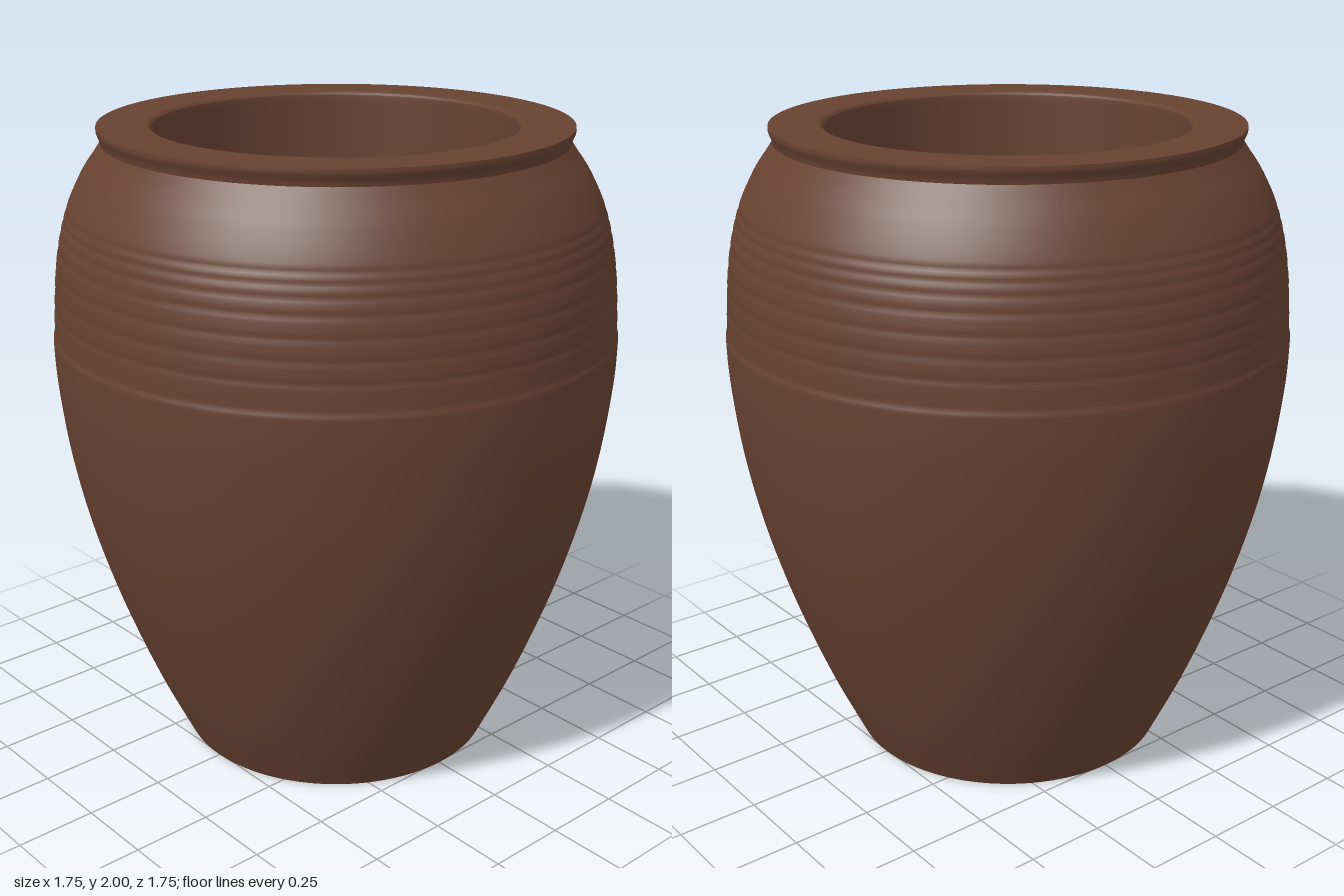
import * as THREE from 'three';

const SEGMENTS = 128;
const v = ([r, y]) => new THREE.Vector2(r, y);

// Smooth profile through a few [radius, height] points
const smooth = (points, n) => new THREE.SplineCurve(points.map(v)).getPoints(n);

export function createModel() {
  const clay = new THREE.MeshStandardMaterial({ color: 0x684231 });
  const pot = new THREE.Group();
  pot.name = 'pot';

  // Each part is turned separately, so the edges between parts stay sharp
  const turn = (name, profile) => {
    const mesh = new THREE.Mesh(new THREE.LatheGeometry(profile, SEGMENTS), clay);
    mesh.name = name;
    pot.add(mesh);
  };

  // Flat underside
  turn('base', [[0, 0], [0.505, 0]].map(v));

  // Bulging body, with a shallow step and turned grooves on the shoulder
  const grooves = [1.46, 1.52, 1.58, 1.64, 1.685, 1.72, 1.75];
  const body = smooth([
    [0.505, 0], [0.598, 0.2], [0.678, 0.4], [0.747, 0.6], [0.803, 0.8], [0.844, 1.0],
    [0.869, 1.2], [0.876, 1.33], [0.873, 1.45], [0.856, 1.6], [0.822, 1.74],
    [0.772, 1.85], [0.725, 1.92], [0.705, 1.95],
  ], 240);
  for (const p of body) {
    const band = THREE.MathUtils.smoothstep(p.y, 1.365, 1.385)
      * (1 - THREE.MathUtils.smoothstep(p.y, 1.4, 1.75));
    let depth = 0.005 * band;
    for (const y of grooves) depth += 0.0025 * Math.exp(-(((p.y - y) / 0.008) ** 2));
    p.x -= depth;
  }
  turn('body', body);

  // Flared lip and flat rim
  turn('lip', smooth([[0.705, 1.95], [0.708, 1.965], [0.716, 1.985], [0.716, 2]], 12));
  turn('rim', [[0.716, 2], [0.565, 2]].map(v));

  // Rounded mouth, hollow wall and curved edge of the floor
  turn('inside', smooth([
    [0.565, 2], [0.555, 1.994], [0.551, 1.98], [0.551, 1.9], [0.552, 1.6],
    [0.552, 1.2], [0.55, 0.8], [0.545, 0.5], [0.53, 0.32], [0.5, 0.22], [0.45, 0.165], [0.4, 0.15],
  ], 80));
  turn('floor', [[0.4, 0.15], [0, 0.15]].map(v));

  return pot;
}
